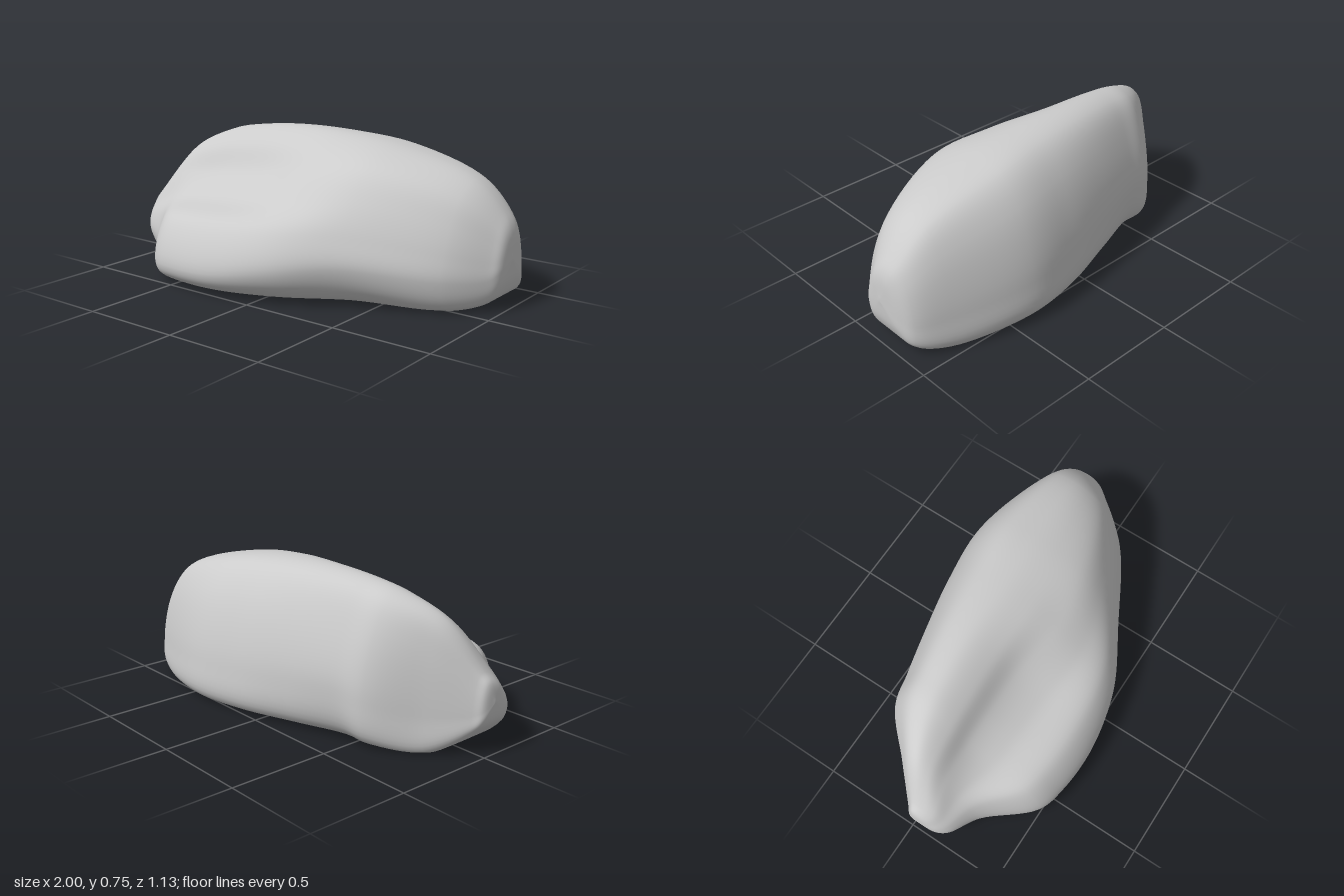
import * as THREE from 'three';
import { mergeVertices } from 'three/addons/utils/BufferGeometryUtils.js';

const AROUND = 88, ALONG = 96;
const { lerp } = THREE.MathUtils;

// Cross-section at x: from the front foot, over the shelf and ridge, down to the back foot.
// Depths run from the ridge to the front or back edge, heights from the base to the top.
// shelf steps the front slope, tuck undercuts the back.
function section({ x, front, back, ridge, top, base = 0.012, shelf = 0, tuck = 0 }) {
  const point = (edge, depth, height) =>
    new THREE.Vector3(x, lerp(base, top, height), lerp(ridge, edge, depth));
  const curve = new THREE.CatmullRomCurve3([
    point(front, lerp(0.78, 0.92, shelf), 0.025),
    point(front, 1, lerp(0.27, 0.14, shelf)),
    point(front, lerp(0.93, 0.86, shelf), lerp(0.48, 0.44, shelf)),
    point(front, lerp(0.77, 0.55, shelf), lerp(0.69, 0.55, shelf)),
    point(front, lerp(0.56, 0.33, shelf), lerp(0.87, 0.7, shelf)),
    point(front, lerp(0.27, 0.19, shelf), lerp(0.97, 0.89, shelf)),
    point(front, 0, 1),
    point(back, 0.41, 0.96),
    point(back, 0.75, 0.75),
    point(back, 1, lerp(0.3, 0.36, tuck)),
    point(back, lerp(0.95, 0.7, tuck), 0.02),
  ], true, 'centripetal');
  return Array.from({ length: AROUND }, (_, j) => {
    const p = curve.getPoint(j / AROUND);
    p.y = Math.max(p.y, base);
    return p;
  });
}

// Rounded end: shrink a ring towards a tip
function shrink(ring, tip, scale, x) {
  return ring.map((p) => tip.clone().lerp(p, scale).setX(x));
}

function boulderGeometry() {
  const body = [
    { x: -0.95, front: 0.2, back: -0.04, ridge: 0.03, top: 0.38, base: 0.11, shelf: 0.2 },
    { x: -0.8, front: 0.28, back: -0.18, ridge: -0.05, top: 0.6, base: 0, shelf: 0.55 },
    { x: -0.6, front: 0.5, back: -0.36, ridge: -0.11, top: 0.7, shelf: 1, tuck: 0.5 },
    { x: -0.45, front: 0.545, back: -0.395, ridge: -0.13, top: 0.73, shelf: 1, tuck: 0.9 },
    { x: -0.2, front: 0.555, back: -0.46, ridge: -0.15, top: 0.75, shelf: 0.9, tuck: 0.5 },
    { x: 0.1, front: 0.49, back: -0.53, ridge: -0.16, top: 0.745, shelf: 0.45, tuck: 0.1 },
    { x: 0.4, front: 0.33, back: -0.56, ridge: -0.2, top: 0.71 },
    { x: 0.8, front: 0.1, back: -0.46, ridge: -0.22, top: 0.59, base: 0 },
    { x: 0.95, front: -0.06, back: -0.39, ridge: -0.23, top: 0.44, base: 0.05 },
  ].map(section);
  const first = body[0], last = body[body.length - 1];
  const rightTip = new THREE.Vector3(-1, 0.25, 0.06);
  const leftTip = new THREE.Vector3(1, 0.24, -0.21);
  const rings = [
    shrink(first, rightTip, 0, -1), shrink(first, rightTip, 0.65, -0.986), ...body,
    shrink(last, leftTip, 0.65, 0.986), shrink(last, leftTip, 0, 1),
  ];

  // Smooth skin lengthwise through all the rings
  const rails = Array.from({ length: AROUND }, (_, j) =>
    new THREE.CatmullRomCurve3(rings.map((ring) => ring[j]), false, 'centripetal'));
  const positions = [], index = [];
  for (let i = 0; i <= ALONG; i++) {
    for (const rail of rails) {
      const p = rail.getPoint(i / ALONG);
      positions.push(p.x, Math.max(p.y, 0), p.z);
    }
  }
  for (let i = 0; i < ALONG; i++) {
    for (let j = 0; j < AROUND; j++) {
      const a = i * AROUND + j, b = a + AROUND;
      const c = i * AROUND + (j + 1) % AROUND, d = c + AROUND;
      index.push(a, b, c, b, d, c);
    }
  }

  const geometry = new THREE.BufferGeometry();
  geometry.setAttribute('position', new THREE.Float32BufferAttribute(positions, 3));
  geometry.setIndex(index);
  const welded = mergeVertices(geometry, 1e-5);
  welded.computeVertexNormals();
  return welded;
}

export function createModel() {
  const group = new THREE.Group();
  group.name = 'rock';
  const boulder = new THREE.Mesh(boulderGeometry(), new THREE.MeshStandardMaterial({ color: 0xcccccc }));
  boulder.name = 'boulder';
  group.add(boulder);
  return group;
}
